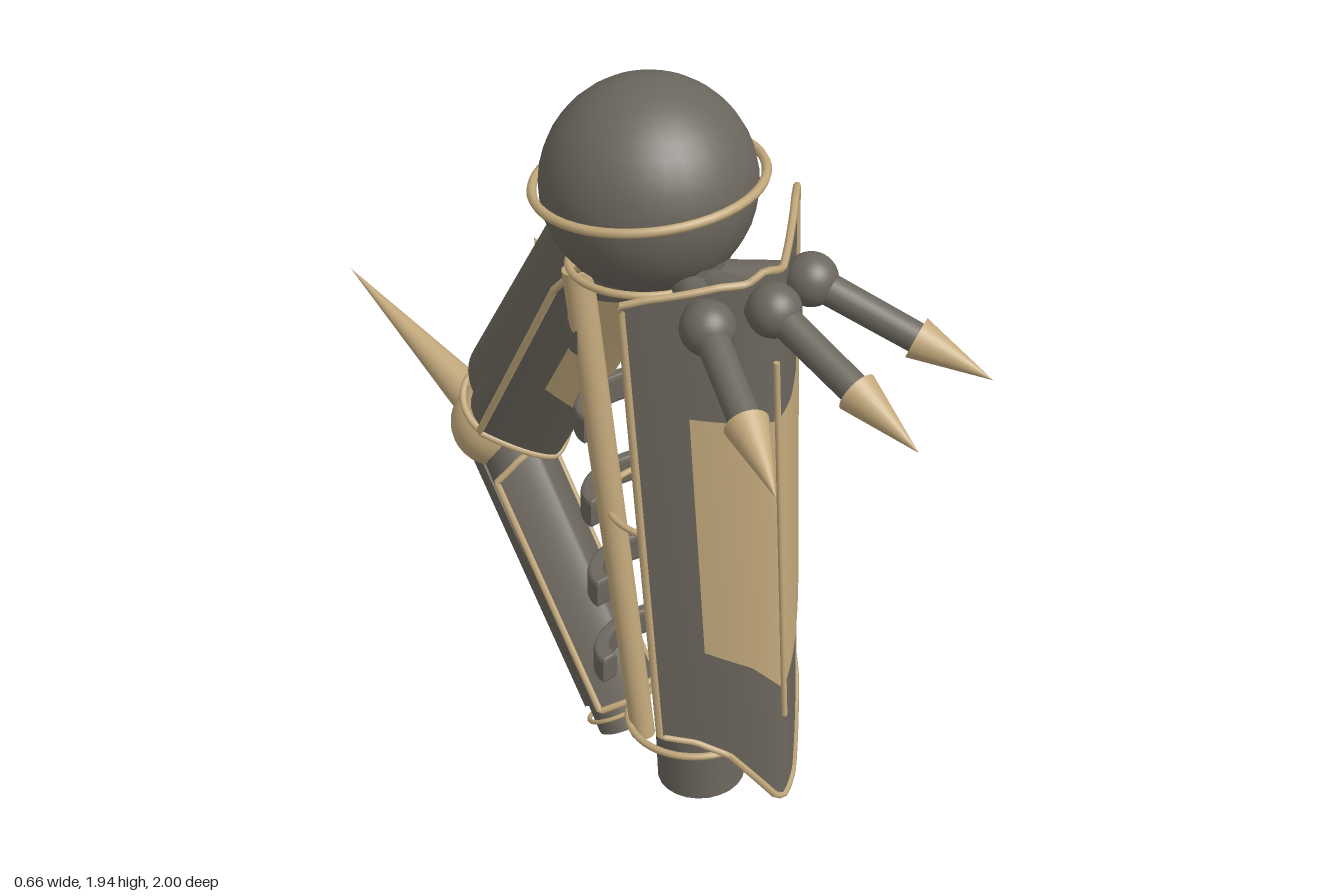
import * as THREE from 'three';

const V = (x, y, z) => new THREE.Vector3(x, y, z);
const UP = V(0, 1, 0);

export function createModel() {
  const root = new THREE.Group();
  const material = (name, color, side = THREE.FrontSide) => {
    const m = new THREE.MeshStandardMaterial({ color, side });
    m.name = name;
    return m;
  };
  const dark = material('dark metal', 0x6b665d, THREE.DoubleSide);
  const gold = material('pale gold', 0xc2a87b, THREE.DoubleSide);
  const teal = material('teal gem', 0x50cac1);

  const add = (name, geometry, mat) => {
    const m = new THREE.Mesh(geometry, mat);
    m.name = name;
    root.add(m);
    return m;
  };
  const ball = (name, c, r, mat) =>
    add(name, new THREE.SphereGeometry(r, 32, 20), mat).position.copy(c);
  // Tapered round bar from a (radius ra) to b (radius rb)
  const bar = (name, a, b, ra, rb, mat) => {
    const d = b.clone().sub(a);
    const m = add(name, new THREE.CylinderGeometry(rb, ra, d.length(), 24), mat);
    m.position.copy(a).addScaledVector(d, 0.5);
    m.quaternion.setFromUnitVectors(UP, d.normalize());
  };
  const ring = (name, c, r, tube, normal) => {
    const m = add(name, new THREE.TorusGeometry(r, tube, 8, 48), gold);
    m.position.copy(c);
    m.quaternion.setFromUnitVectors(V(0, 0, 1), normal.clone().normalize());
  };

  // Linear interpolation through [u, t] pairs
  const along = (pts, u) => {
    let i = 1;
    while (i < pts.length - 1 && u > pts[i][0]) i++;
    const [a, b] = [pts[i - 1], pts[i]];
    return THREE.MathUtils.mapLinear(u, a[0], b[0], a[1], b[1]);
  };
  // Bowed plate between a top and a bottom edge, lying on surface S(u, t, offset)
  const plate = (name, S, top, bottom, mat, offset = 0) => {
    const nu = 48, nv = 16, pos = [], idx = [];
    const u0 = top[0][0], u1 = top[top.length - 1][0];
    for (let j = 0; j <= nv; j++) for (let i = 0; i <= nu; i++) {
      const u = u0 + (u1 - u0) * i / nu;
      pos.push(...S(u, THREE.MathUtils.lerp(along(top, u), along(bottom, u), j / nv), offset).toArray());
      if (i < nu && j < nv) {
        const a = j * (nu + 1) + i, b = a + nu + 1;
        idx.push(a, b, a + 1, a + 1, b, b + 1);
      }
    }
    const g = new THREE.BufferGeometry();
    g.setAttribute('position', new THREE.Float32BufferAttribute(pos, 3));
    g.setIndex(idx);
    g.computeVertexNormals();
    add(name, g, mat);
  };
  // Plate with gold edging; ridge runs from p0 to p1 over "span", bowed away from n
  const shield = (name, { p0, p1, n, span, w0, w1, depth }, top, bottom, panel) => {
    const S = (u, t, off = 0) => {
      const k = t / span;
      const p = p0.clone().addScaledVector(p1.clone().sub(p0), k);
      p.x += u * (w0 + (w1 - w0) * k);
      return p.addScaledVector(n, off - depth * Math.abs(u) ** 1.5);
    };
    plate(name, S, top, bottom, dark);
    const path = new THREE.CurvePath(), loop = [];
    for (let i = 0; i <= 40; i++) loop.push(S(i / 20 - 1, along(top, i / 20 - 1)));
    for (let i = 40; i >= 0; i--) loop.push(S(i / 20 - 1, along(bottom, i / 20 - 1)));
    loop.forEach((p, i) => path.add(new THREE.LineCurve3(p, loop[(i + 1) % loop.length])));
    add(name + 'Trim', new THREE.TubeGeometry(path, 240, 0.009, 6, true), gold);
    if (panel) plate(name + 'Panel', S, panel[0], panel[1], gold, 0.009);
    return S;
  };

  // Shoulder ball and its ring
  ball('shoulderBall', V(0, 1.7, 0.2), 0.24, dark);
  ring('shoulderRing', V(0, 1.71, 0.2), 0.255, 0.011, V(-0.08, 1, -0.08));

  // Front column with two side rods, cross bands and rings
  bar('frontColumn', V(0, 1.52, 0.26), V(0.1, 0.06, 0.322), 0.08, 0.11, dark);
  for (const s of [-1, 1])
    bar('sideRod', V(s * 0.13, 1.5, 0.113), V(0.093 + s * 0.12, 0.2, 0.24), 0.035, 0.03, gold);
  const arc = new THREE.Shape();
  arc.absarc(0, 0, 0.155, Math.PI, 2 * Math.PI, false);
  arc.absarc(0, 0, 0.13, 2 * Math.PI, Math.PI, true);
  const band = new THREE.ExtrudeGeometry(arc, {
    depth: 0.055, curveSegments: 20, bevelSize: 0.01, bevelThickness: 0.01, bevelSegments: 2,
  });
  band.rotateX(Math.PI / 2).scale(1, 1, 0.66);
  for (let i = 0; i < 5; i++) {
    const y = 1.33 - i * 0.24, k = (1.5 - y) / 1.3;
    add('crossBand', band, dark).position.set(0.093 * k, y + 0.0275, 0.128 + 0.025 * k);
  }
  ring('upperRing', V(0, 1.51, 0.2), 0.175, 0.009, V(0, 1, -0.05));
  ring('middleRing', V(0.045, 0.87, 0.25), 0.155, 0.008, V(0, 1, 0.03));
  ring('lowerRing', V(0.09, 0.25, 0.315), 0.175, 0.009, V(-0.05, 1, -0.06));

  // Front shield
  const S = shield('frontShield', {
    p0: V(0.018, 1.6, 0.555), p1: V(0.088, 0.37, 0.595), n: V(0, 0, 1),
    span: 1.23, w0: 0.267, w1: 0.228, depth: 0.18,
  },
  [[-1, 0.04], [-0.85, 0.025], [-0.4, 0], [-0.2, 0], [-0.05, -0.025], [0.2, 0], [0.45, -0.06], [0.65, -0.1], [0.85, -0.09], [1, -0.03]],
  [[-1, 1.24], [-0.75, 1.25], [-0.5, 1.29], [-0.1, 1.43], [0, 1.445], [0.3, 1.41], [0.55, 1.27], [0.75, 1.23], [1, 1.22]],
  [[[-0.66, 0.32], [-0.3, 0.34], [0, 0.35], [0.3, 0.33], [0.72, 0.24]],
    [[-0.66, 0.97], [-0.3, 1.02], [0, 1.1], [0.3, 1.03], [0.72, 0.9]]]);
  bar('shieldRidge', S(0, 0.2, 0.012), S(0, 1.18, 0.012), 0.007, 0.007, gold);

  // Three claws fanned out in front
  bar('clawMount', V(0, 1.52, 0.18), V(0, 1.52, 0.4), 0.065, 0.06, dark);
  for (const s of [-1, 0, 1]) {
    const knuckle = V(s * 0.155, 1.545, s ? 0.545 : 0.585);
    const tip = V(s * 0.33, 1.39, s ? 0.92 : 1);
    const wrist = knuckle.clone().lerp(tip, 0.58);
    bar('clawRoot', V(s * 0.03, 1.52, 0.36), knuckle, 0.04, 0.04, dark);
    ball('clawKnuckle', knuckle, 0.06, dark);
    bar('clawFinger', knuckle, wrist, 0.036, 0.034, dark);
    bar('clawTip', wrist, tip, 0.048, 0, gold);
  }

  // Rear thigh with a half-round cover
  const hip = V(0, 1.6, 0.13), knee = V(0.055, 0.775, -0.41);
  const thigh = knee.clone().sub(hip);
  bar('thigh', hip, knee, 0.1, 0.085, dark);
  const a = hip.clone().addScaledVector(thigh, -0.07), b = hip.clone().addScaledVector(thigh, 0.77);
  const cover = add('thighCover', new THREE.CylinderGeometry(0.138, 0.138, a.distanceTo(b), 24, 1, true,
    Math.PI - 1.4, 2.8), dark);
  cover.position.copy(a).lerp(b, 0.5);
  cover.quaternion.setFromUnitVectors(UP, thigh.clone().normalize().negate());
  const back = V(0, 0.553, -0.833);
  const stud = hip.clone().addScaledVector(thigh, 0.36).addScaledVector(back, 0.13);
  bar('coverStud', stud, stud.clone().addScaledVector(back, 0.04), 0.02, 0, gold);

  shield('thighShield', {
    p0: V(0.02, 1.45, 0.23), p1: V(0.05, 0.79, -0.17), n: V(0, -0.52, 0.855),
    span: 0.77, w0: 0.18, w1: 0.155, depth: 0.135,
  },
  [[-1, 0.1], [-0.75, -0.16], [-0.3, 0.02], [0, 0], [0.3, 0.02], [0.75, -0.18], [1, 0.08]],
  [[-1, 0.75], [0, 0.77], [1, 0.75]],
  [[[-0.66, 0.08], [0, 0.04], [0.66, 0.08]], [[-0.66, 0.47], [0, 0.55], [0.66, 0.47]]]);

  // Knee with spike, ring and gem
  ball('knee', knee, 0.113, gold);
  bar('kneeSpike', V(0.055, 0.8, -0.48), V(0.055, 0.98, -1), 0.055, 0, gold);
  ring('kneeRing', V(0.05, 0.86, -0.355), 0.115, 0.009, thigh);
  ball('kneeGem', V(0.16, 0.78, -0.41), 0.048, teal);

  // Shin, shin shield and the slim bar behind it
  const foot = V(0.1, 0.039, 0.04), shin = foot.clone().sub(knee);
  bar('shin', knee.clone().add(V(0, 0.01, 0.03)), foot, 0.08, 0.071, dark);
  ring('ankleRing', knee.clone().addScaledVector(shin, 0.95), 0.083, 0.006, shin);
  shield('shinShield', {
    p0: V(0.06, 0.77, -0.26), p1: V(0.09, 0.19, 0.125), n: V(0, 0.553, 0.833),
    span: 0.7, w0: 0.1, w1: 0.1, depth: 0.075,
  },
  [[-1, 0.05], [-0.5, 0.02], [0, 0], [0.5, 0.02], [1, 0.05]],
  [[-1, 0.7], [0, 0.7], [1, 0.7]]);
  const c0 = V(0.065, 0.67, -0.485), c1 = V(0.1, 0.04, -0.07);
  bar('calfRod', c0, c1, 0.021, 0.021, gold);
  const strip = add('calfStrip', new THREE.BoxGeometry(0.014, c0.distanceTo(c1), 0.036), dark);
  strip.position.copy(c0).lerp(c1, 0.5).add(V(-0.022, 0, 0));
  strip.quaternion.setFromUnitVectors(UP, c0.clone().sub(c1).normalize());

  return root;
}
